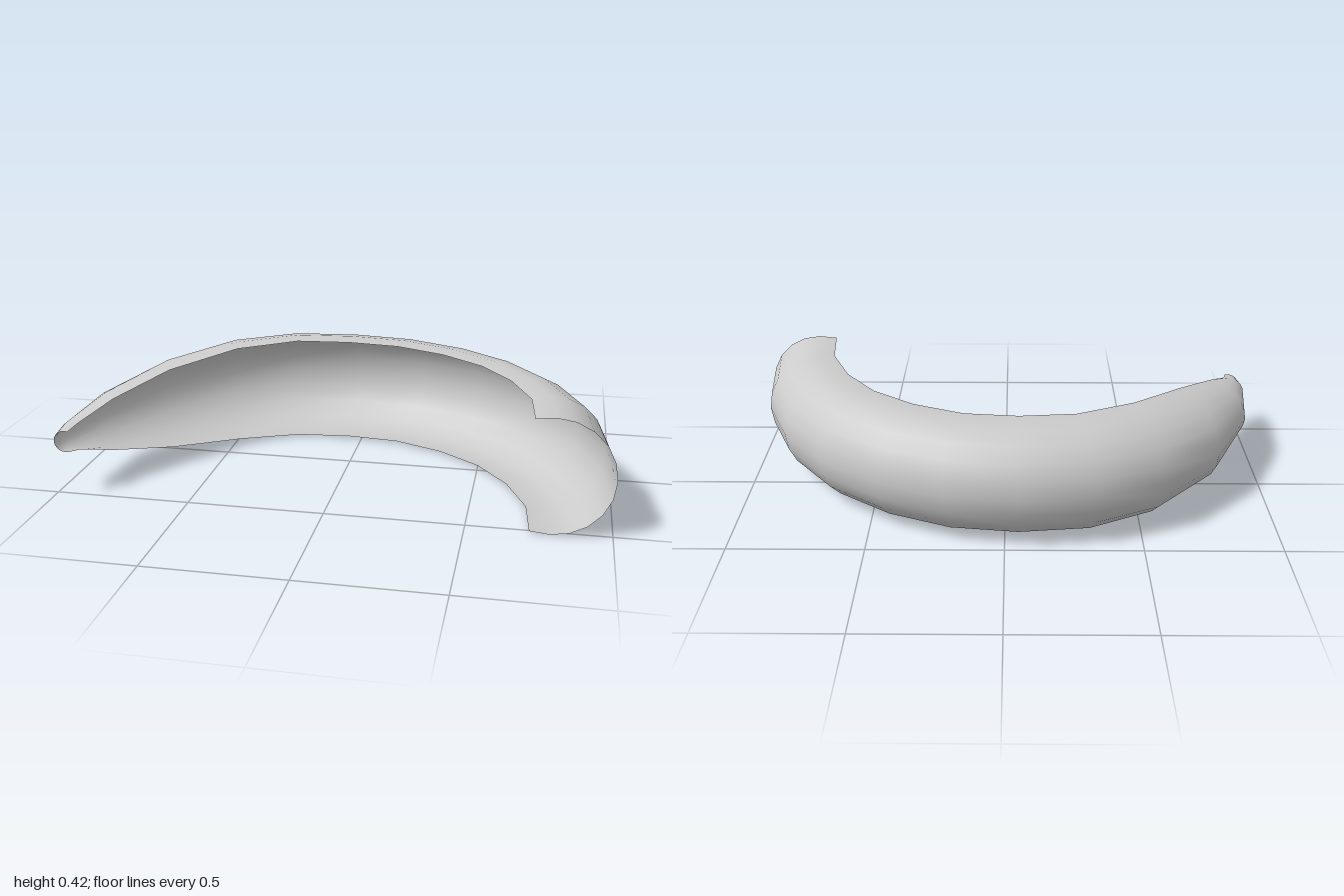
import * as THREE from 'three';

// Stations along the curved guard: outer x, outer z, inner x, inner z, half height
const STATIONS = [
  [1, 0.52, 0.72, 0.52, 0.21],
  [0.965, 0.25, 0.70, 0.32, 0.21],
  [0.86, 0, 0.62, 0.13, 0.21],
  [0.69, -0.22, 0.50, -0.03, 0.21],
  [0.47, -0.385, 0.34, -0.15, 0.21],
  [0.22, -0.49, 0.15, -0.23, 0.21],
  [-0.05, -0.525, -0.05, -0.25, 0.21],
  [-0.33, -0.49, -0.26, -0.23, 0.21],
  [-0.575, -0.385, -0.48, -0.11, 0.2],
  [-0.80, -0.17, -0.69, 0.11, 0.165],
  [-0.96, 0.16, -0.84, 0.32, 0.105],
  [-1, 0.43, -0.92, 0.46, 0.053],
  [-0.99, 0.52, -0.935, 0.52, 0.04],
];
const MID_Y = 0.21;

// Arch section as [depth from lip to crown, height], bottom lip to top lip
function archSection(steps = 10, shoulder = 0.25, lip = 0.965) {
  const points = [[0, -lip]];
  for (let i = 0; i <= steps; i++) {
    const a = (i / steps - 0.5) * Math.PI;
    points.push([shoulder + (1 - shoulder) * Math.cos(a), Math.sin(a)]);
  }
  points.push([0, lip]);
  return points;
}

// Open shell lofted through the stations
function loftShell(stations, section) {
  const positions = [], indices = [], n = section.length;
  stations.forEach(([ox, oz, ix, iz, half], s) => {
    section.forEach(([d, h], k) => {
      positions.push(ix + (ox - ix) * d, MID_Y + h * half, iz + (oz - iz) * d);
      if (s < stations.length - 1 && k < n - 1) {
        const a = s * n + k, b = a + n;
        indices.push(a, b, a + 1, b, b + 1, a + 1);
      }
    });
  });
  const geometry = new THREE.BufferGeometry();
  geometry.setAttribute('position', new THREE.Float32BufferAttribute(positions, 3));
  geometry.setIndex(indices);
  geometry.computeVertexNormals();
  return geometry;
}

export function createModel() {
  const group = new THREE.Group();
  group.name = 'wheelGuard';
  const material = new THREE.MeshStandardMaterial({ color: 0xcccccc, side: THREE.DoubleSide });
  const shell = new THREE.Mesh(loftShell(STATIONS, archSection()), material);
  shell.name = 'curvedShell';
  group.add(shell);
  return group;
}
